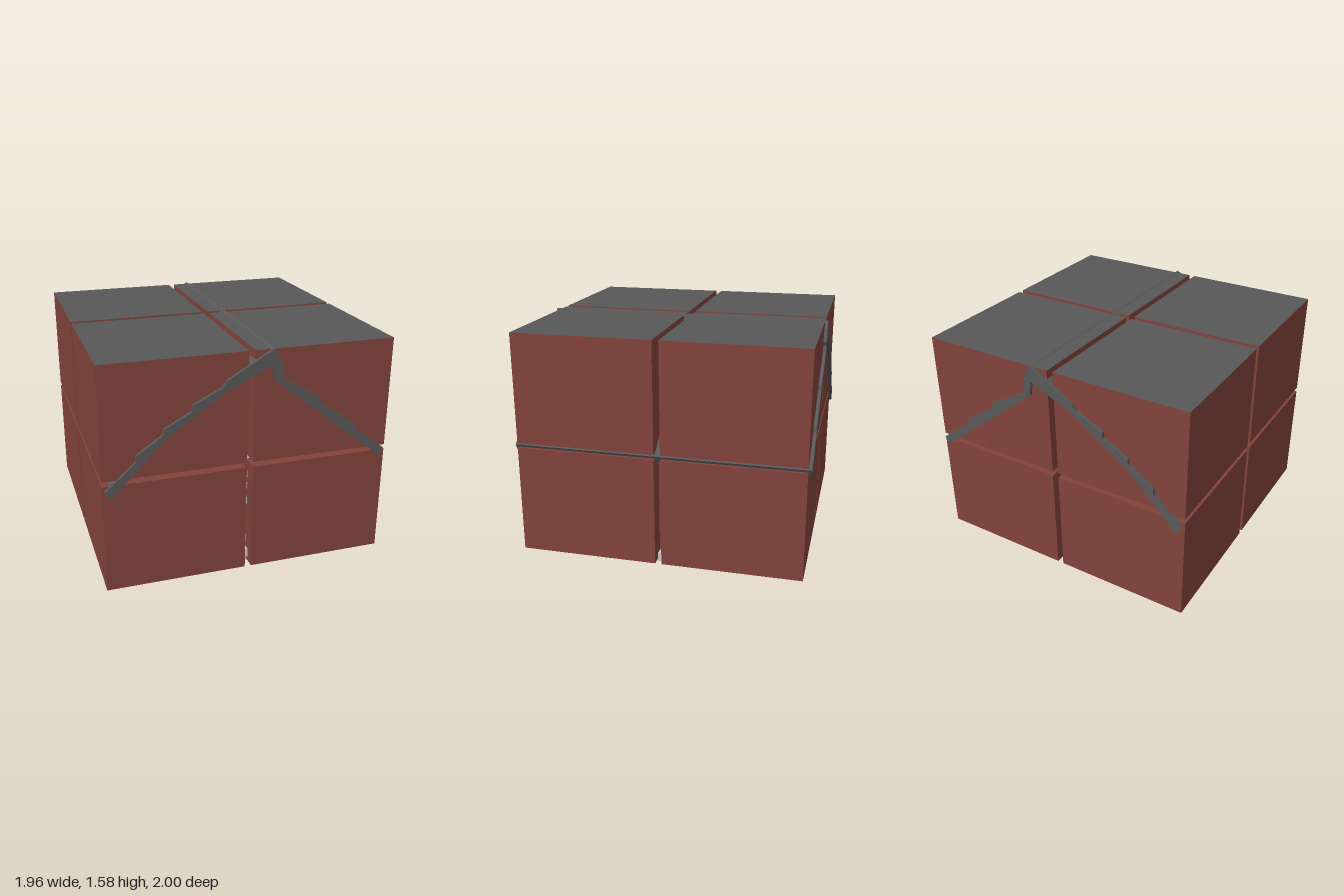
import * as THREE from 'three';

const mat = (color, extra = {}) => new THREE.MeshStandardMaterial({ color, ...extra });

export function createModel() {
  const model = new THREE.Group();
  const brick = mat(0x82433b), slate = mat(0x585858), plaster = mat(0xcccccc);

  const add = (name, geometry, material, x = 0, y = 0, z = 0, parent = model) => {
    const mesh = new THREE.Mesh(geometry, material);
    mesh.name = name;
    mesh.position.set(x, y, z);
    parent.add(mesh);
    return mesh;
  };
  const polygon = pts => new THREE.Shape(pts.map(p => new THREE.Vector2(...p)));
  const prism = (shape, depth) =>
    new THREE.ExtrudeGeometry(shape, { depth, bevelEnabled: false }).translate(0, 0, -depth / 2);

  // eight blocks parted by narrow gaps; the upper ones have slate tops
  const blocks = new THREE.Group();
  blocks.name = 'blocks';
  model.add(blocks);
  for (const [y0, y1, top] of [[0.02, 0.775, brick], [0.81, 1.57, slate]])
    for (const x of [-0.5, 0.5])
      for (const z of [-0.5, 0.5])
        add('block', new THREE.BoxGeometry(0.956, y1 - y0, 0.956),
          [brick, brick, top, brick, brick, brick], x, (y0 + y1) / 2, z, blocks);

  // crooked roof band, running the full depth
  const roof = polygon([
    [-0.927, 0.688], [-0.576, 1.05], [-0.366, 1.196], [-0.173, 1.327], [0.136, 1.469],
    [0.152, 1.364], [0.932, 0.741], [0.963, 0.793], [0.733, 0.966], [0.723, 1.008],
    [0.487, 1.17], [0.476, 1.212], [0.215, 1.364], [0.194, 1.411], [0.209, 1.442],
    [0.141, 1.579], [-0.173, 1.395], [-0.199, 1.353], [-0.393, 1.26], [-0.398, 1.217],
    [-0.576, 1.123], [-0.581, 1.086], [-0.759, 0.966], [-0.764, 0.92], [-0.963, 0.746],
  ]);
  add('roof', prism(roof, 2), slate);

  // foundation slab with a brick underside
  add('foundation', new THREE.BoxGeometry(1.775, 0.06, 1.75),
    [plaster, plaster, plaster, brick, plaster, plaster], 0.017, 0.03, 0);

  // gable walls with a window opening
  const gable = polygon([
    [-0.83, 0.05], [0.83, 0.05], [0.83, 0.82], [0.155, 1.365], [0.137, 1.47],
    [-0.173, 1.33], [-0.366, 1.2], [-0.576, 1.054], [-0.83, 0.79],
  ]);
  gable.holes.push(polygon([[-0.15, 0.86], [-0.15, 1.13], [0.15, 1.13], [0.15, 0.86]]));
  const gableGeometry = prism(gable, 0.05);

  for (const s of [1, -1]) {
    const front = new THREE.Group();
    front.name = s > 0 ? 'frontGable' : 'backGable';
    front.rotation.y = s > 0 ? 0 : Math.PI;
    model.add(front);
    add('gableWall', gableGeometry, plaster, 0, 0, 0.82, front);
    add('doorStep', new THREE.BoxGeometry(0.4, 0.06, 0.1), plaster, 0, 0.08, 0.86, front);
    add('windowLintel', new THREE.BoxGeometry(0.34, 0.19, 0.02), brick, 0, 1.25, 0.85, front);
    add('door', new THREE.BoxGeometry(0.34, 0.63, 0.02), brick, 0, 0.43, 0.85, front);
    // braces and rails on the door
    for (const [y, tilt] of [[0.2, -0.7], [0.46, 0.7], [0.585, 0], [0.675, 0]])
      add('doorBrace', new THREE.BoxGeometry(0.3, 0.045, 0.02), plaster, 0, y, 0.865, front)
        .rotation.z = tilt;

    // side wall below the eaves
    add(s > 0 ? 'leftWall' : 'rightWall', new THREE.BoxGeometry(0.05, 0.72, 1.64), brick, s * 0.83, 0.42, 0);
  }
  return model;
}
